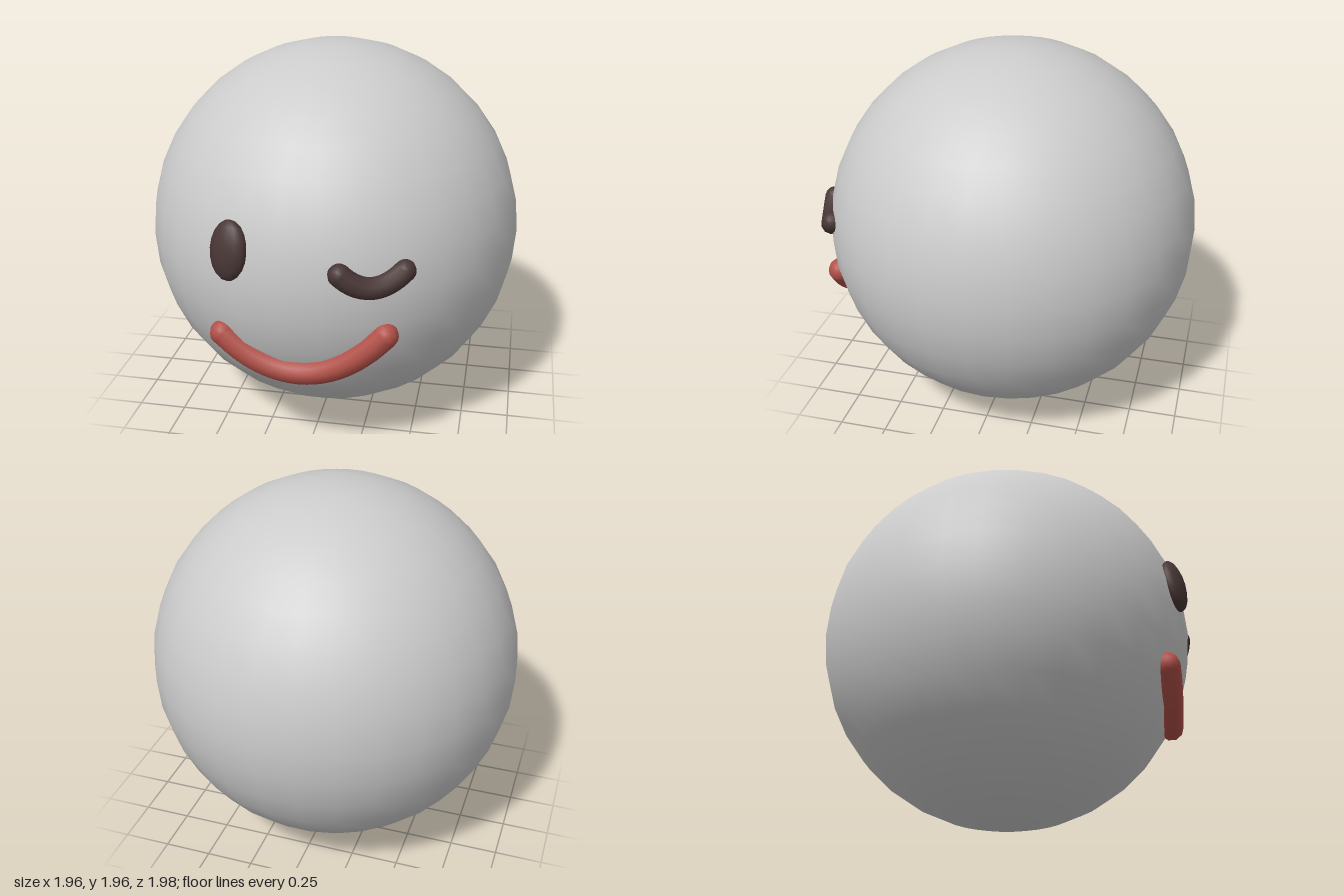
import * as THREE from 'three';

const R = 0.98;
const CENTER = new THREE.Vector3(0, 0.985, -0.022);

// Point on the front of the ball at a given x, y
function onBall(x, y) {
  const dy = y - CENTER.y;
  return new THREE.Vector3(x, y, CENTER.z + Math.sqrt(R * R - x * x - dy * dy));
}

// Round-ended tube that hugs the ball along a flat quadratic curve
function faceTube(name, points, radius, segments, material) {
  const flat = new THREE.QuadraticBezierCurve(...points.map(([x, y]) => new THREE.Vector2(x, y)));
  const path = new THREE.CatmullRomCurve3(flat.getPoints(12).map((p) => onBall(p.x, p.y)));
  const group = new THREE.Group();
  group.name = name;
  const tube = new THREE.Mesh(new THREE.TubeGeometry(path, segments, radius, 10), material);
  tube.name = name + 'Tube';
  group.add(tube);
  for (const t of [0, 1]) {
    const cap = new THREE.Mesh(new THREE.SphereGeometry(radius, 12, 10), material);
    cap.name = name + 'End';
    cap.position.copy(path.getPoint(t));
    group.add(cap);
  }
  return group;
}

export function createModel() {
  const model = new THREE.Group();
  model.name = 'winkingBall';
  const grey = new THREE.MeshStandardMaterial({ color: 0xcccccc });
  const dark = new THREE.MeshStandardMaterial({ color: 0x483635 });
  const red = new THREE.MeshStandardMaterial({ color: 0xb25048 });

  // Head
  const head = new THREE.Mesh(new THREE.SphereGeometry(R, 30, 18), grey);
  head.name = 'head';
  head.position.copy(CENTER);
  model.add(head);

  // Open eye: flattened ellipsoid facing outward
  const eye = new THREE.Mesh(new THREE.SphereGeometry(1, 14, 10), dark);
  eye.name = 'openEye';
  eye.scale.set(0.1, 0.148, 0.055);
  eye.position.copy(onBall(-0.338, 1.147));
  eye.lookAt(eye.position.clone().multiplyScalar(2).sub(CENTER));
  model.add(eye);

  // Winking eye and smile
  model.add(faceTube('winkingEye', [[0.195, 1.088], [0.34, 0.948], [0.482, 1.088]], 0.055, 14, dark));
  model.add(faceTube('mouth', [[-0.405, 0.675], [-0.003, 0.305], [0.4, 0.752]], 0.065, 24, red));

  return model;
}
